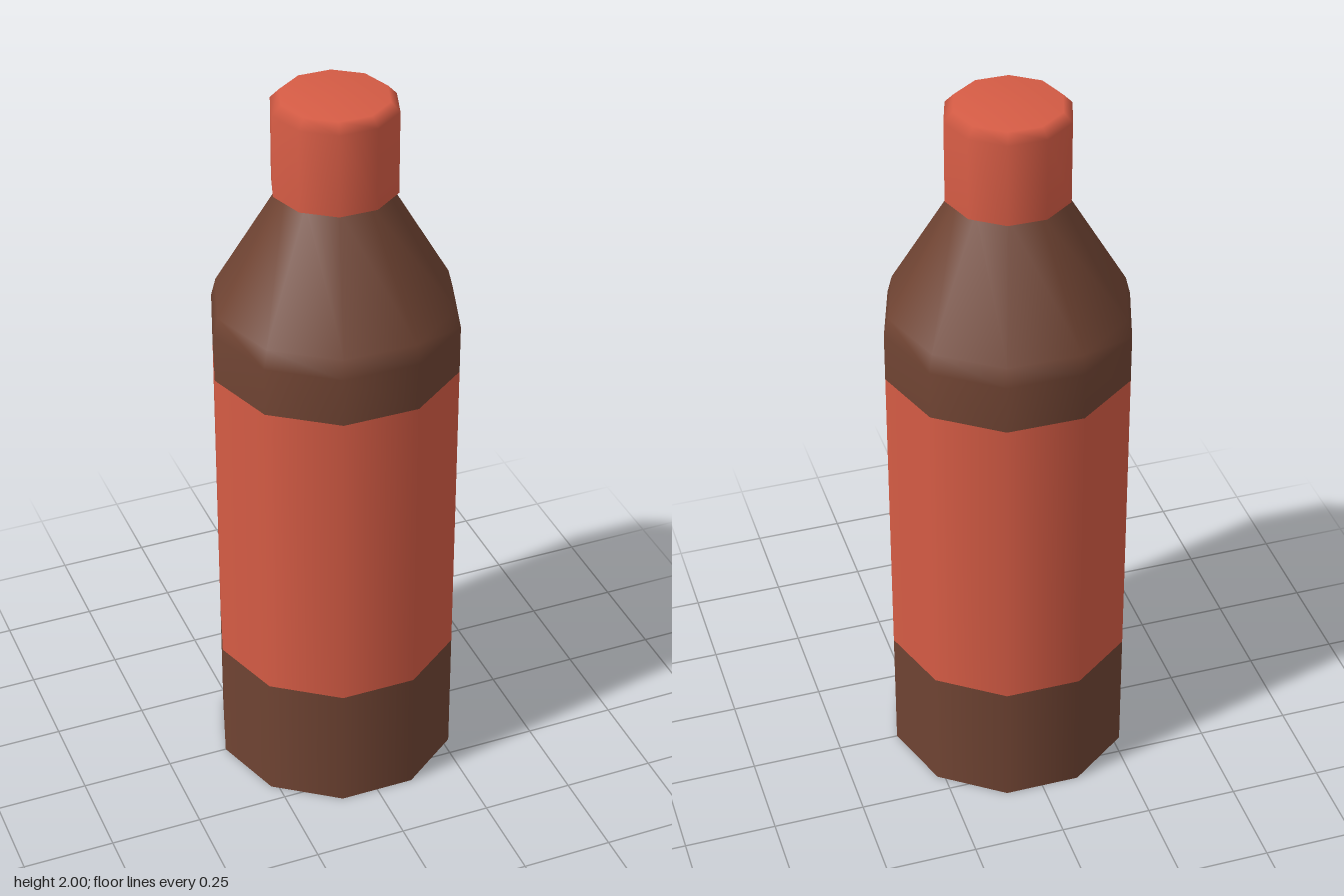
import * as THREE from 'three';

export function createModel() {
  const bottle = new THREE.Group();
  bottle.name = 'bottle';
  const brown = new THREE.MeshStandardMaterial({ name: 'brown', color: 0x704433 });
  const red = new THREE.MeshStandardMaterial({ name: 'red', color: 0xd65c45 });

  // Ten-sided turned part with corners on the x axis; profile is [radius, y] from the bottom up
  function turned(name, material, profile) {
    const points = profile.map(([r, y]) => new THREE.Vector2(r, y));
    const mesh = new THREE.Mesh(new THREE.LatheGeometry(points, 10, Math.PI / 2), material);
    mesh.name = name;
    bottle.add(mesh);
  }

  const R = 0.333, capR = 0.166;

  // Body: flat base, lower band, label and tapering shoulder
  turned('base', brown, [[0, 0], [R, 0]]);
  turned('lowerBody', brown, [[R, 0], [R, 0.36]]);
  turned('label', red, [[R, 0.36], [R, 1.245]]);
  turned('shoulder', brown, [[R, 1.245], [R, 1.38], [0.32, 1.43], [0.135, 1.75]]);

  // Cap with a softened top edge and a flat underside
  turned('capUnderside', red, [[0, 1.75], [capR, 1.75]]);
  turned('cap', red, [[capR, 1.75], [capR, 1.975], [0.142, 2], [0, 2]]);

  return bottle;
}
